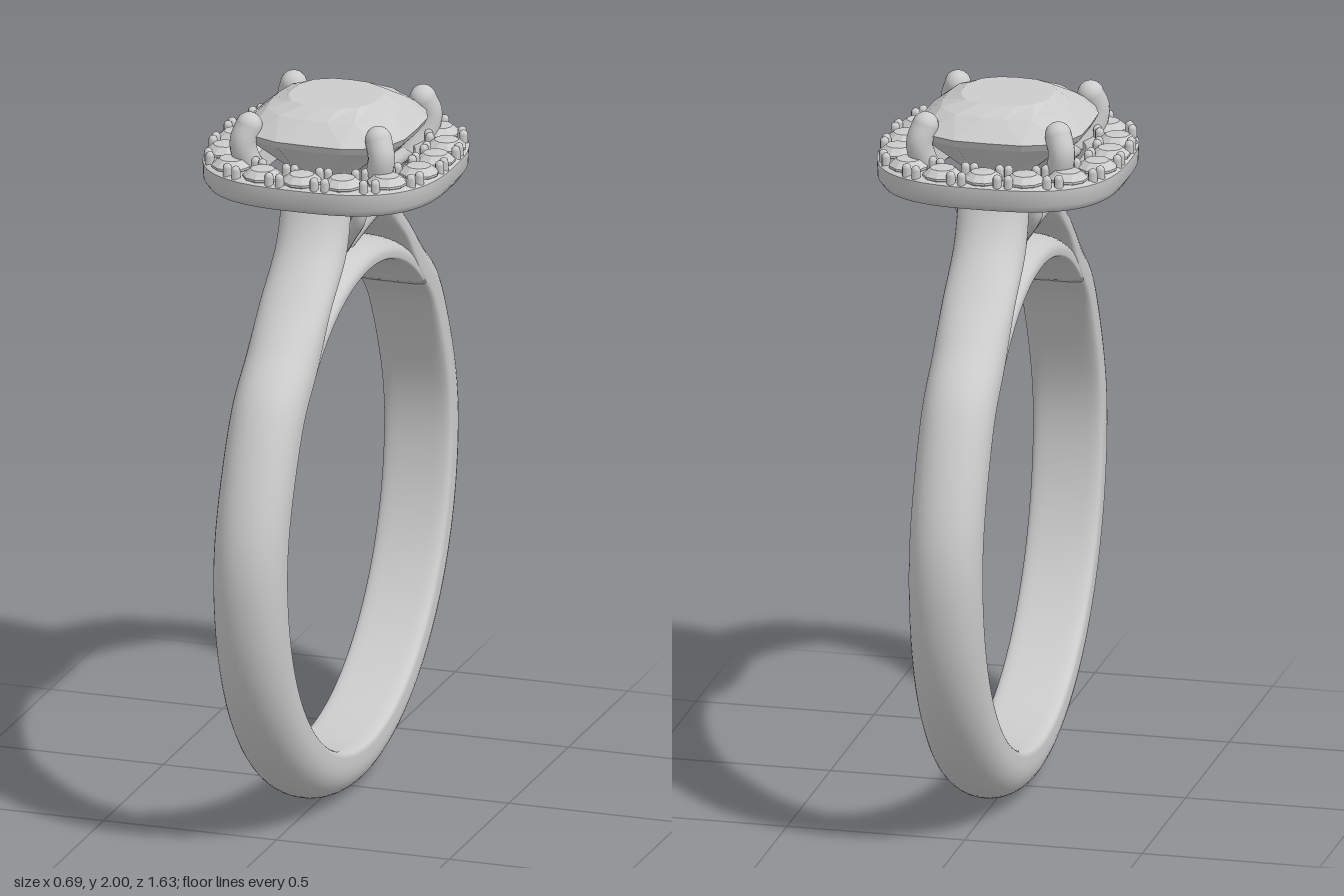
import * as THREE from 'three';
import { toCreasedNormals } from 'three/addons/utils/BufferGeometryUtils.js';

const metal = new THREE.MeshStandardMaterial({ color: 0xcccccc });
const facet = new THREE.MeshStandardMaterial({ color: 0xcccccc, flatShading: true });
const V = (x, y, z) => new THREE.Vector3(x, y, z);
const CENTRE_Y = 0.815;

function add(parent, name, geometry, material = metal) {
  const mesh = new THREE.Mesh(geometry, material);
  mesh.name = name;
  parent.add(mesh);
  return mesh;
}

// Skin a list of closed cross-section loops; wrap joins last to first, else ends are capped
function loft(loops, wrap = false) {
  const collapse = (loop) => {
    const c = loop.reduce((s, p) => s.add(p), V(0, 0, 0)).divideScalar(loop.length);
    return loop.map(() => c);
  };
  const rings = wrap ? loops : [collapse(loops[0]), ...loops, collapse(loops[loops.length - 1])];
  const m = rings[0].length, n = rings.length, index = [];
  for (let i = 0; i < (wrap ? n : n - 1); i++) {
    for (let j = 0; j < m; j++) {
      const k = (j + 1) % m, up = ((i + 1) % n) * m;
      const a = i * m + j, b = i * m + k, c = up + k, d = up + j;
      index.push(a, d, b, b, d, c);
    }
  }
  const g = new THREE.BufferGeometry().setFromPoints(rings.flat());
  g.setIndex(index);
  g.computeVertexNormals();
  return g;
}

// Point on a cushion (rounded square) outline
function cushion(half, y, angle, n = 2.8) {
  const c = Math.cos(angle), s = Math.sin(angle);
  const r = half / Math.pow(Math.abs(c) ** n + Math.abs(s) ** n, 1 / n);
  return V(r * c, y, r * s);
}
const cushionLoop = (half, y, segs, n, shift = 0) =>
  Array.from({ length: segs }, (_, j) => cushion(half, y, ((j + shift) / segs) * Math.PI * 2, n));

// Band section between an inner and outer point: domed outside, flatter inside
function bandSection(inner, outer, halfWidth, innerPower) {
  const out = outer.clone().sub(inner), mid = inner.clone().addScaledVector(out, 0.32);
  return Array.from({ length: 40 }, (_, j) => {
    const a = (j / 40) * Math.PI * 2, c = Math.cos(a), s = Math.sin(a);
    const e = 2 / (s < 0 ? innerPower : 2.1);
    const d = Math.sign(s) * Math.abs(s) ** e * (s < 0 ? 0.32 : 0.68);
    const p = mid.clone().addScaledVector(out, d);
    p.x = halfWidth * Math.sign(c) * Math.abs(c) ** e;
    return p;
  });
}
// Point on the finger circle, angle measured from the bottom towards +z
const onCircle = (r, deg) => {
  const a = THREE.MathUtils.degToRad(deg);
  return V(0, CENTRE_Y - r * Math.cos(a), r * Math.sin(a));
};

function shank() {
  const arc = [0, 20, 40, 60, 80, 100];
  const side = (r, pts) => {
    const half = [...arc.map((d) => onCircle(r, d)), ...pts.map(([z, y]) => V(0, y, z))];
    const other = half.slice(1).reverse().map((p) => V(0, p.y, -p.z));
    return new THREE.CatmullRomCurve3([...other, ...half], false, 'catmullrom', 0.5);
  };
  const inner = side(0.675, [[0.555, 1.2], [0.43, 1.34], [0.32, 1.475], [0.18, 1.595], [0.14, 1.71], [0.15, 1.79]]);
  const outer = side(0.815, [[0.667, 1.28], [0.51, 1.43], [0.4, 1.52], [0.285, 1.63], [0.228, 1.72], [0.212, 1.79]]);
  const loops = [], count = 176;
  for (let i = 0; i <= count; i++) {
    const t = i / count, end = Math.abs(t * 2 - 1);
    const power = THREE.MathUtils.lerp(6, 2.4, THREE.MathUtils.smoothstep(end, 0.65, 0.9));
    loops.push(bandSection(inner.getPoint(t), outer.getPoint(t), 0.1, power));
  }
  return loft(loops);
}

function bridge() {
  const loops = [];
  for (let d = 136; d <= 224; d += 2) loops.push(bandSection(onCircle(0.675, d), onCircle(0.74, d), 0.097, 6));
  return loft(loops);
}

function centreStone() {
  // half width, height, squareness, rotation in steps
  const profile = [
    [0.008, 1.69, 2.5, 0], [0.12, 1.795, 3, 0.5], [0.225, 1.9, 3.6, 0],
    [0.235, 1.92, 3.6, 0], [0.175, 1.972, 3.2, 0.5], [0.125, 1.996, 2.6, 0],
  ];
  return loft(profile.map(([h, y, n, s]) => cushionLoop(h, y, 16, n, s))).toNonIndexed();
}

function halo() {
  const profile = [
    [0.2, 1.76], [0.21, 1.752], [0.305, 1.752], [0.33, 1.76], [0.343, 1.78],
    [0.345, 1.826], [0.335, 1.832], [0.23, 1.832], [0.205, 1.82],
  ];
  return toCreasedNormals(loft(profile.map(([h, y]) => cushionLoop(h, y, 96)), true), 0.7);
}

export function createModel() {
  const ring = new THREE.Group();
  ring.name = 'ring';
  add(ring, 'shank', shank());
  add(ring, 'bridge', bridge());
  add(ring, 'halo', halo());
  add(ring, 'centreStone', centreStone(), facet);

  // Four claws: thin curved stem below the halo, thick claw gripping the stone
  const stemPath = new THREE.CatmullRomCurve3(
    [[0.012, 1.54], [0.055, 1.605], [0.1, 1.675], [0.108, 1.72], [0.115, 1.76], [0.175, 1.81]].map(([d, y]) => V(d, y, d)));
  const clawPath = new THREE.CatmullRomCurve3(
    [[0.165, 1.79], [0.192, 1.85], [0.2, 1.9], [0.187, 1.945]].map(([d, y]) => V(d, y, d)));
  for (let i = 0; i < 4; i++) {
    const claw = new THREE.Group();
    claw.name = 'claw';
    claw.rotation.y = (i * Math.PI) / 2;
    add(claw, 'clawStem', new THREE.TubeGeometry(stemPath, 24, 0.02, 10));
    add(claw, 'clawArm', new THREE.TubeGeometry(clawPath, 16, 0.037, 16));
    add(claw, 'clawTip', new THREE.SphereGeometry(0.037, 16, 12)).position.set(0.187, 1.945, 0.187);
    ring.add(claw);
  }

  // Sixteen small stones around the halo, with paired beads between them
  const gemProfile = [[0, -0.045], [0.055, 0], [0.055, 0.006], [0.034, 0.024], [0, 0.026]];
  const gem = new THREE.LatheGeometry(gemProfile.map(([r, y]) => new THREE.Vector2(r, y)), 10);
  const bead = new THREE.CapsuleGeometry(0.013, 0.04, 4, 8);
  for (let i = 0; i < 16; i++) {
    const angle = (i / 16) * Math.PI * 2;
    const stone = add(ring, 'haloStone', gem, facet);
    stone.position.copy(cushion(0.288, 1.834, angle));
    stone.rotation.y = -angle;
    for (const [half, spread] of [[0.33, 0.045], [0.243, 0.05]]) {
      for (const s of [-1, 1]) {
        add(ring, 'haloBead', bead).position.copy(cushion(half, 1.832, angle + Math.PI / 16 + s * spread));
      }
    }
  }
  return ring;
}
